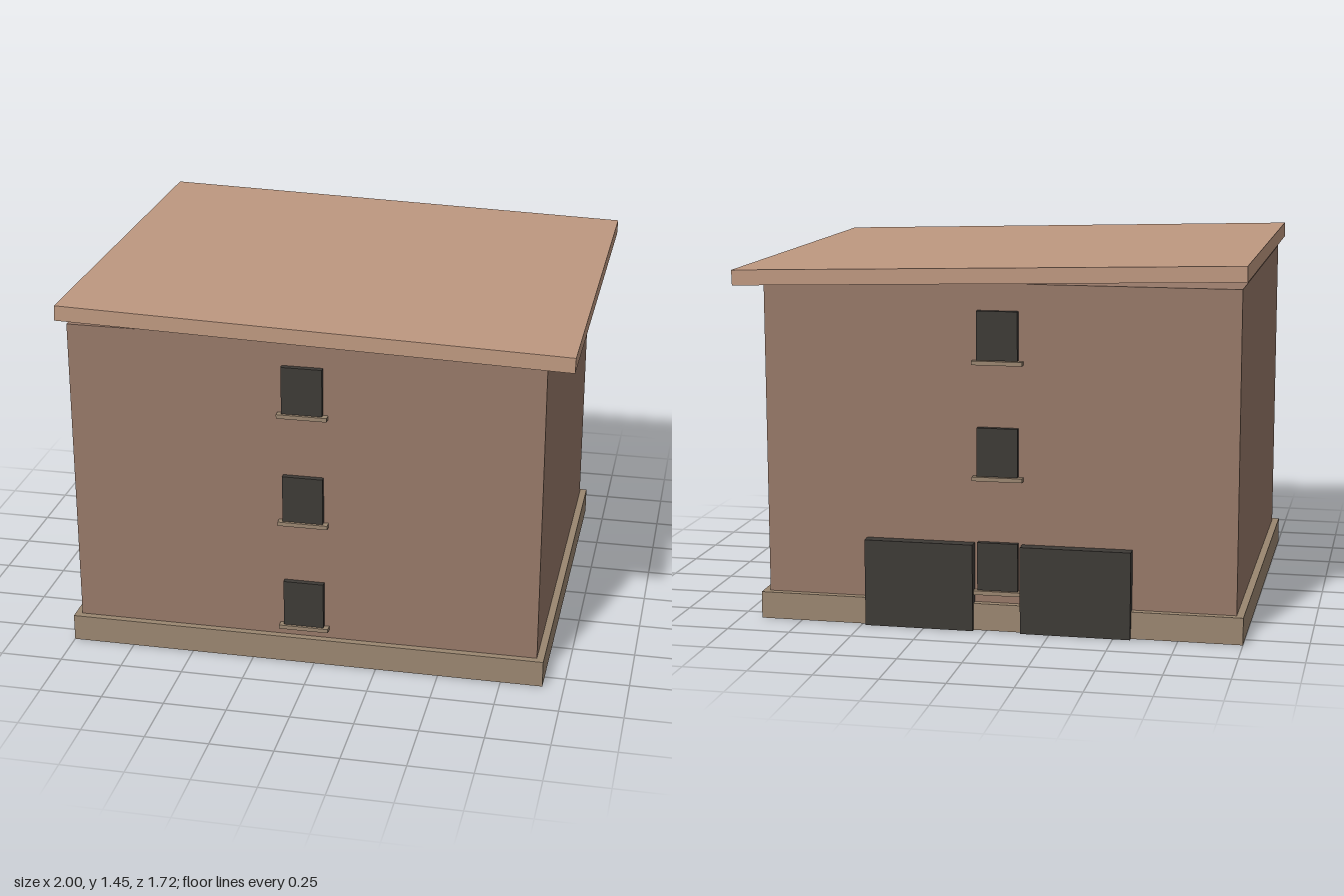
import * as THREE from 'three';

const material = (color) => new THREE.MeshStandardMaterial({ color });

export function createModel() {
  const group = new THREE.Group();
  group.name = 'building';

  const brick = material(0x967868);
  const stone = material(0x9a8670);
  const tile = material(0xbe9880);
  const dark = material(0x3d3a36);

  // Box given by its centre x, bottom y, centre z and size
  function box(name, mat, x, y, z, w, h, d, parent = group) {
    const mesh = new THREE.Mesh(new THREE.BoxGeometry(w, h, d), mat);
    mesh.name = name;
    mesh.position.set(x, y + h / 2, z);
    parent.add(mesh);
    return mesh;
  }

  const cx = -0.042; // the walls sit off-centre under the roof

  // Walls and plinth
  box('walls', brick, cx, 0.005, 0, 1.86, 1.355, 1.595);
  box('plinth', stone, cx, 0, 0, 1.916, 0.107, 1.652);

  // Slanted roof slab, falling towards +x
  const roof = box('roof', tile, 0, 1.365, 0, 1.992, 0.06, 1.724);
  roof.rotation.z = -0.03;

  // One column of windows with sills, on the front and on the back
  for (const side of [1, -1]) {
    const column = new THREE.Group();
    column.name = side > 0 ? 'frontWindows' : 'backWindows';
    group.add(column);
    for (let floor = 0; floor < 3; floor++) {
      const y = 0.16 + floor * 0.453;
      box('window', dark, cx, y, side * 0.808, 0.16, 0.19, 0.024, column);
      box('windowSill', stone, cx, y - 0.018, side * 0.811, 0.198, 0.016, 0.032, column);
    }
  }

  // Pair of wide doors at the back
  for (const side of [1, -1]) {
    box(side > 0 ? 'leftDoor' : 'rightDoor', dark, cx + side * 0.31, 0, -0.82, 0.432, 0.345, 0.05);
  }

  return group;
}
